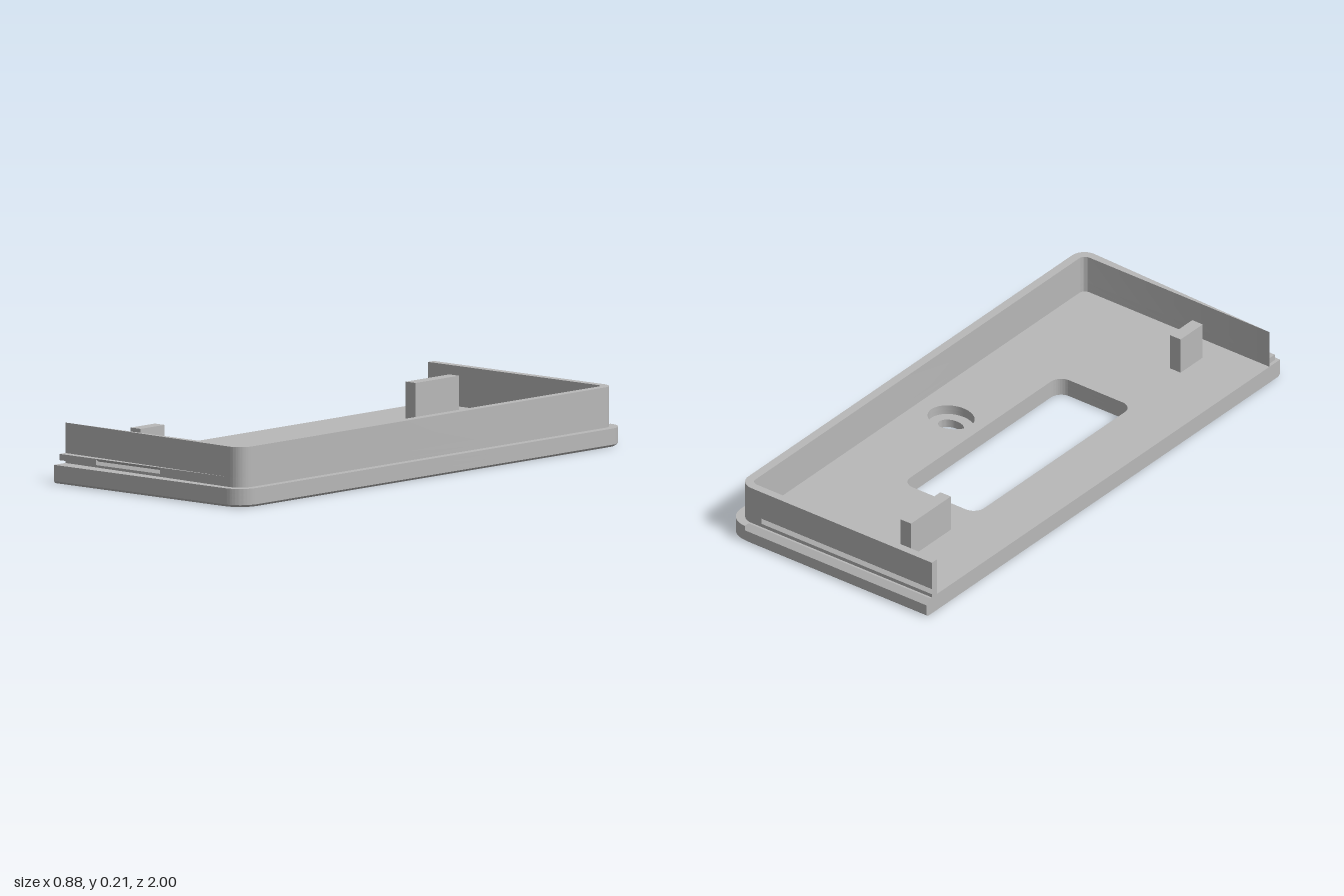
import * as THREE from 'three';
import { toCreasedNormals } from 'three/addons/utils/BufferGeometryUtils.js';

const LEFT = -0.44;

// Plan shapes are drawn in x and -z, then stood up between two heights
function slab(shape, y0, y1) {
  const g = new THREE.ExtrudeGeometry(shape, { depth: y1 - y0, bevelEnabled: false, curveSegments: 16 });
  return g.rotateX(-Math.PI / 2).translate(0, y0, 0);
}

// Outline that is square on the open side and rounded at the far corners
function plate(right, half, r, back = half, stepX = 0) {
  const s = new THREE.Shape();
  s.moveTo(LEFT, -half);
  s.lineTo(right - r, -half);
  s.absarc(right - r, -half + r, r, -Math.PI / 2, 0, false);
  s.lineTo(right, half - r);
  s.absarc(right - r, half - r, r, 0, Math.PI / 2, false);
  if (back !== half) {
    s.lineTo(stepX, half);
    s.lineTo(stepX, back);
  }
  s.lineTo(LEFT, back);
  s.closePath();
  return s;
}

function ellipse(x, y, rx, ry) {
  const p = new THREE.Path();
  p.absellipse(x, y, rx, ry, 0, Math.PI * 2, true);
  return p;
}

// Rounded rectangular opening
function opening() {
  const x0 = -0.225, x1 = 0.1, h = 0.443, r = 0.045, p = new THREE.Path();
  p.absarc(x1 - r, h - r, r, Math.PI / 2, 0, true);
  p.absarc(x1 - r, -h + r, r, 0, -Math.PI / 2, true);
  p.absarc(x0 + r, -h + r, r, -Math.PI / 2, -Math.PI, true);
  p.absarc(x0 + r, h - r, r, Math.PI, Math.PI / 2, true);
  p.closePath();
  return p;
}

// U-shaped wall, optionally notched on the front and back faces
function wallShape(notch) {
  const s = new THREE.Shape(), d = 0.97 - 0.013, r = 0.055, ri = 0.025;
  s.moveTo(LEFT, -0.97);
  if (notch) {
    s.lineTo(-0.27, -0.97);
    s.lineTo(-0.27, -d);
    s.lineTo(0.03, -d);
    s.lineTo(0.03, -0.97);
  }
  s.absarc(0.41 - r, -0.97 + r, r, -Math.PI / 2, 0, false);
  s.absarc(0.41 - r, 0.97 - r, r, 0, Math.PI / 2, false);
  if (notch) {
    s.lineTo(0.31, 0.97);
    s.lineTo(0.31, d);
    s.lineTo(LEFT, d);
  } else s.lineTo(LEFT, 0.97);
  s.lineTo(LEFT, 0.94);
  s.absarc(0.378 - ri, 0.94 - ri, ri, Math.PI / 2, 0, true);
  s.absarc(0.378 - ri, -0.94 + ri, ri, 0, -Math.PI / 2, true);
  s.lineTo(LEFT, -0.94);
  s.closePath();
  return s;
}

// Triangular strip running along x; corners are [z, y]
function wedge(corners, x0, x1) {
  const s = new THREE.Shape(corners.map(([z, y]) => new THREE.Vector2(-z, y)));
  const g = new THREE.ExtrudeGeometry(s, { depth: x1 - x0, bevelEnabled: false });
  return g.rotateY(Math.PI / 2).translate(x0, 0, 0);
}

export function createModel() {
  const model = new THREE.Group();
  model.name = 'caseHalf';
  const grey = new THREE.MeshStandardMaterial({ color: 0xb8b8b8 });
  grey.name = 'grey plastic';
  const add = (name, geometry) => {
    const g = geometry.index ? geometry.toNonIndexed() : geometry;
    const mesh = new THREE.Mesh(toCreasedNormals(g, 0.5), grey);
    mesh.name = name;
    model.add(mesh);
    return mesh;
  };

  // Bottom skin with a small chamfer around its outer edge
  const skin = plate(0.44, 1, 0.08);
  skin.holes.push(opening(), ellipse(0.23, 0, 0.05, 0.035));
  for (const z of [-0.81, 0.81]) skin.holes.push(ellipse(0.23, z, 0.1, 0.1));
  const skinGeo = slab(skin, 0, 0.008);
  const p = skinGeo.attributes.position;
  for (let i = 0; i < p.count; i++) {
    const x = p.getX(i), z = p.getZ(i);
    if (p.getY(i) < 0.004 && (Math.abs(z) > 0.915 || x > 0.335)) {
      p.setZ(i, z * 0.992);
      if (x > 0) p.setX(i, x * 0.982);
    }
  }
  skinGeo.computeVertexNormals();
  add('bottomSkin', skinGeo);

  // Round discs set into the underside
  for (const z of [-0.81, 0.81]) {
    add('bottomDisc', new THREE.CylinderGeometry(0.1, 0.1, 0.0075, 48).translate(0.23, 0.00425, z));
  }

  // Floor plate, with a countersunk oval hole
  const lower = plate(0.44, 1, 0.08);
  lower.holes.push(opening(), ellipse(0.23, 0, 0.05, 0.035));
  add('lowerFloor', slab(lower, 0.008, 0.03));
  const middle = plate(0.44, 1, 0.08);
  middle.holes.push(opening(), ellipse(0.23, 0, 0.087, 0.073));
  add('middleFloor', slab(middle, 0.03, 0.047));
  const upper = plate(0.44, 1, 0.08, 0.978, 0.36);
  upper.holes.push(opening(), ellipse(0.23, 0, 0.087, 0.073));
  add('upperFloor', slab(upper, 0.047, 0.065));
  add('backLedgeSlope', wedge([[-1, 0.047], [-0.978, 0.047], [-0.978, 0.065]], LEFT, 0.36));

  // Wall in three courses; the middle one carries the snap grooves
  add('wallFoot', slab(wallShape(false), 0.065, 0.078));
  add('wallGrooveCourse', slab(wallShape(true), 0.078, 0.1));
  add('wallTop', slab(wallShape(false), 0.1, 0.207));

  // Sloped faces of the V-shaped grooves
  for (const [side, x0, x1] of [[1, -0.27, 0.03], [-1, LEFT, 0.31]]) {
    const o = side * 0.97, n = side * 0.957;
    add('grooveLowerSlope', wedge([[o, 0.078], [n, 0.078], [n, 0.089]], x0, x1));
    add('grooveUpperSlope', wedge([[o, 0.1], [n, 0.1], [n, 0.089]], x0, x1));
  }

  // Upright posts on the floor
  for (const [z0, z1] of [[-0.805, -0.58], [0.72, 0.845]]) {
    const post = add('post', new THREE.BoxGeometry(0.046, 0.137, z1 - z0));
    post.position.set(-0.197, 0.1325, (z0 + z1) / 2);
  }
  return model;
}
